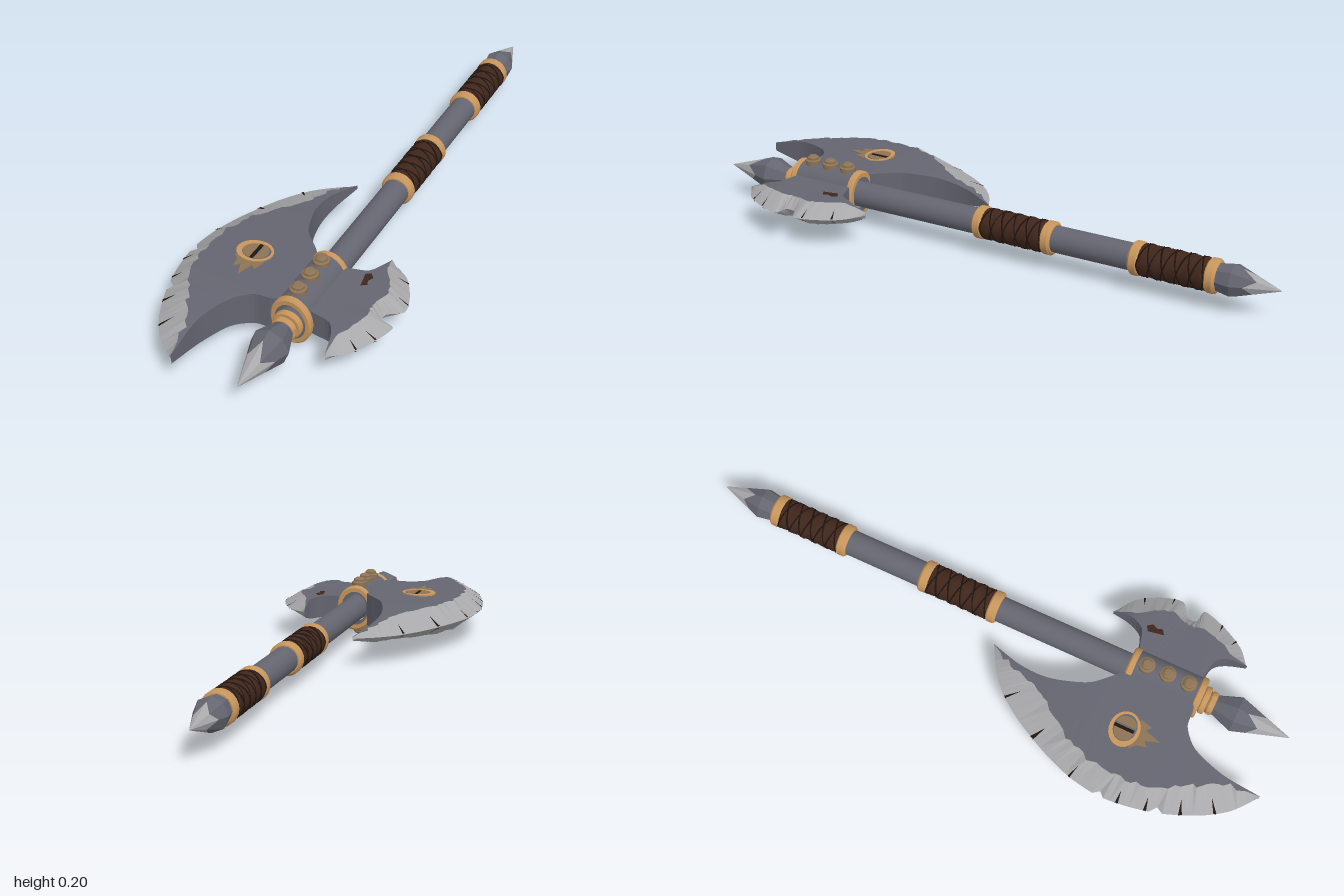
import * as THREE from 'three';
import { toCreasedNormals } from 'three/addons/utils/BufferGeometryUtils.js';

const mat = (name, color, opts = {}) => {
  const m = new THREE.MeshStandardMaterial({ color, ...opts });
  m.name = name;
  return m;
};
const V = (x, y, z) => new THREE.Vector3(x, y, z);

export function createModel() {
  const steel = mat('dark steel', 0x646570, { flatShading: true });
  const shaftSteel = mat('shaft steel', 0x646570);
  const bright = mat('worn bright steel', 0xa8a8aa, { flatShading: true });
  const gold = mat('gold trim', 0xc8965c);
  const bronze = mat('aged bronze', 0x8c7355);
  const leather = mat('brown leather', 0x40261b);
  const crease = mat('dark crease', 0x20140f, { side: THREE.DoubleSide });

  const model = new THREE.Group();
  model.name = 'battleAxe';
  const haft = new THREE.Group();
  haft.name = 'haft';
  haft.position.set(0.068, 0.1, 0);
  haft.rotation.y = 0.008;
  model.add(haft);

  let seed = 7;
  const rnd = () => (seed = (seed * 16807) % 2147483647) / 2147483647 - 0.5;

  const add = (parent, name, geo, material) => {
    const mesh = new THREE.Mesh(geo, material);
    mesh.name = name;
    parent.add(mesh);
    return mesh;
  };

  // Profile of [radius, z] turned around the haft axis
  const turned = (profile, sides) =>
    new THREE.LatheGeometry(profile.map(p => new THREE.Vector2(p[0], p[1])), sides).rotateX(Math.PI / 2);
  const turnedPart = (name, profile, material, sides = 24) =>
    add(haft, name, toCreasedNormals(turned(profile, sides), 0.6), material);
  const ring = (name, z0, z1, r) => {
    const b = (z1 - z0) * 0.2;
    return turnedPart(name, [[r * 0.75, z0], [r - b, z0], [r, z0 + b], [r, z1 - b], [r - b, z1], [r * 0.75, z1]], gold);
  };

  turnedPart('shaft', [[0.042, -0.83], [0.042, 0.7]], shaftSteel);

  // Leather grips with crossing creases between gold rings
  for (const [start, end] of [[-0.81, -0.535], [-0.275, 0]]) {
    ring('gripRing', start, start + 0.035, 0.053);
    ring('gripRing', end - 0.035, end, 0.053);
    const a = start + 0.03, len = end - start - 0.06;
    const profile = [];
    for (let i = 0; i <= 24; i++) profile.push([0.048 + 0.0025 * Math.abs(Math.sin(i * Math.PI / 4)), a + len * i / 24]);
    add(haft, 'leatherGrip', turned(profile, 20), leather);
    for (const dir of [-1, 1]) for (let k = 0; k < 2; k++) {
      const pts = [];
      for (let i = 0; i <= 40; i++) {
        const w = dir * (i / 40 * Math.PI * 5) + k * Math.PI;
        pts.push(V(Math.cos(w) * 0.049, Math.sin(w) * 0.049, a + len * i / 40));
      }
      add(haft, 'gripCrease', new THREE.TubeGeometry(new THREE.CatmullRomCurve3(pts), 80, 0.003, 4), crease);
    }
  }

  // Faceted spike whose bright tip meets the dark base in a zigzag
  const spike = (name, tipZ, wideZ, baseZ, wideR, baseR) => {
    const at = f => [wideR * f, tipZ + (wideZ - tipZ) * f];
    const build = (part, profile, ringIndex, material) => {
      const list = tipZ < wideZ ? profile : profile.slice().reverse();
      const row = tipZ < wideZ ? ringIndex : list.length - 1 - ringIndex;
      const geo = turned(list, 8), p = geo.attributes.position;
      for (let i = 0; i <= 8; i++) {
        const f = [0.82, 0.58, 0.74, 0.5][i % 4], [r, z] = at(f);
        const j = i * list.length + row, s = r / Math.hypot(p.getX(j), p.getY(j));
        p.setXYZ(j, p.getX(j) * s, p.getY(j) * s, z);
      }
      add(haft, name + part, geo, material);
    };
    build('Tip', [[0, tipZ], at(0.65)], 1, bright);
    build('Base', [at(0.65), [wideR, wideZ], [baseR, baseZ], [0, baseZ]], 0, steel);
  };
  spike('pommelSpike', -1, -0.855, -0.81, 0.052, 0.044);
  spike('headSpike', 0.99, 0.81, 0.73, 0.06, 0.03);

  // Oval collar holding the blades, with rings and studs
  turnedPart('collar', [[0.04, 0.455], [0.062, 0.455], [0.062, 0.685], [0.04, 0.685]], shaftSteel).scale.y = 1.22;
  ring('collarRearRing', 0.445, 0.47, 0.065).scale.y = 1.2;
  ring('collarFrontRing', 0.672, 0.695, 0.065).scale.y = 1.22;
  turnedPart('neck', [[0.034, 0.69], [0.034, 0.74]], bronze);
  ring('neckRing', 0.695, 0.715, 0.045);
  ring('neckRing', 0.718, 0.738, 0.038);
  const studProfile = [[0.026, 0.065], [0.026, 0.084], [0.019, 0.087], [0.019, 0.093], [0.012, 0.099], [0, 0.1]]
    .map(p => new THREE.Vector2(p[0], p[1]));
  for (const z of [0.5, 0.57, 0.64]) for (const side of [0, Math.PI]) {
    const stud = add(haft, 'stud', toCreasedNormals(new THREE.LatheGeometry(studProfile, 12), 0.6), bronze);
    stud.position.z = z;
    stud.rotation.z = side;
  }

  // Blade lofted from stations: [edge x, z, bevel x, z, half thickness, back x, z, half thickness]
  const blade = (name, stations, count, jag, notches, cracks) => {
    const curve = (ix, iz, ih) => new THREE.CatmullRomCurve3(
      stations.map(s => V(s[ix], ih ? s[ih] : 0, s[iz])), false, 'catmullrom', 0.4);
    const edge = curve(0, 1), bevel = curve(2, 3, 4), back = curve(5, 6, 7);
    const flip = p => V(p.x, -p.y, p.z);
    const rows = [];
    for (let i = 0; i <= count; i++) {
      const t = i / count, o = edge.getPoint(t), b = bevel.getPoint(t), k = back.getPoint(t);
      if (notches.includes(i)) o.lerp(V(b.x, 0, b.z), 0.25);
      if (i > 2 && i < count - 2) b.x += rnd() * jag;
      rows.push([o, b, k, flip(k), flip(b)]);
    }
    const strip = (part, pairs, material) => {
      const pos = [];
      for (let i = 0; i < count; i++) for (const [a, b] of pairs) {
        const p = rows[i], q = rows[i + 1];
        for (const v of [p[a], q[a], q[b], p[a], q[b], p[b]]) pos.push(v.x, v.y + 0.1, v.z);
      }
      const geo = new THREE.BufferGeometry();
      geo.setAttribute('position', new THREE.Float32BufferAttribute(pos, 3));
      geo.computeVertexNormals();
      add(model, name + part, geo, material);
    };
    strip('Edge', [[0, 1], [4, 0]], bright);
    strip('Body', [[1, 2], [2, 3], [3, 4]], steel);

    // Thin dark cracks running in from the cutting edge
    const pos = [];
    for (const t of cracks) for (const s of [1, -1]) {
      const end = edge.getPoint(t).lerp(bevel.getPoint(t), 0.55);
      for (const v of [edge.getPoint(t - 0.004), edge.getPoint(t + 0.004), end])
        pos.push(v.x, 0.1 + s * (v.y + 0.003), v.z);
    }
    const geo = new THREE.BufferGeometry();
    geo.setAttribute('position', new THREE.Float32BufferAttribute(pos, 3));
    geo.computeVertexNormals();
    add(model, name + 'Cracks', geo, crease);
  };

  blade('largeBlade', [
    [-0.05, 0.035, -0.05, 0.035, 0.006, -0.05, 0.035, 0.006],
    [-0.12, 0.075, -0.095, 0.115, 0.026, -0.08, 0.13, 0.026],
    [-0.18, 0.127, -0.125, 0.2, 0.037, -0.088, 0.205, 0.037],
    [-0.24, 0.21, -0.165, 0.27, 0.044, -0.08, 0.27, 0.045],
    [-0.3, 0.33, -0.235, 0.37, 0.049, -0.045, 0.365, 0.052],
    [-0.335, 0.43, -0.27, 0.455, 0.05, 0.03, 0.45, 0.056],
    [-0.35, 0.53, -0.283, 0.54, 0.05, 0.05, 0.55, 0.056],
    [-0.34, 0.63, -0.277, 0.62, 0.05, 0.03, 0.675, 0.056],
    [-0.315, 0.73, -0.245, 0.715, 0.049, -0.045, 0.69, 0.054],
    [-0.27, 0.835, -0.2, 0.79, 0.048, -0.1, 0.74, 0.049],
    [-0.215, 0.915, -0.16, 0.86, 0.042, -0.135, 0.845, 0.043],
    [-0.14, 0.975, -0.14, 0.975, 0.015, -0.14, 0.975, 0.015],
  ], 55, 0.018, [30, 39], [0.2, 0.32, 0.45, 0.6, 0.68, 0.77, 0.86]);

  blade('smallBlade', [
    [0.23, 0.78, 0.23, 0.78, 0.012, 0.23, 0.78, 0.012],
    [0.28, 0.74, 0.238, 0.715, 0.034, 0.218, 0.72, 0.034],
    [0.32, 0.67, 0.262, 0.665, 0.038, 0.19, 0.683, 0.038],
    [0.345, 0.59, 0.276, 0.61, 0.038, 0.12, 0.665, 0.04],
    [0.303, 0.58, 0.268, 0.58, 0.035, 0.1, 0.6, 0.04],
    [0.303, 0.547, 0.268, 0.547, 0.035, 0.1, 0.53, 0.04],
    [0.345, 0.515, 0.283, 0.51, 0.038, 0.12, 0.46, 0.04],
    [0.33, 0.45, 0.272, 0.46, 0.038, 0.19, 0.435, 0.038],
    [0.285, 0.375, 0.232, 0.395, 0.034, 0.215, 0.385, 0.034],
    [0.215, 0.328, 0.215, 0.328, 0.01, 0.215, 0.328, 0.01],
  ], 36, 0.01, [], [0.15, 0.24, 0.72, 0.85]);

  // Thin inlay plates on both faces of the blades
  const plate = (name, points, lift, material, hole) => {
    const shape = new THREE.Shape(points.map(p => new THREE.Vector2(p[0], p[1])));
    if (hole) shape.holes.push(new THREE.Path(hole.map(p => new THREE.Vector2(p[0], p[1]))));
    for (const s of [1, -1]) {
      const geo = new THREE.ExtrudeGeometry(shape, { depth: 0.008, bevelEnabled: false });
      add(model, name, geo.translate(0, 0, -0.004).rotateX(Math.PI / 2), material).position.y = 0.1 + s * lift;
    }
  };
  const oval = (cx, cz, rx, rz, a0, a1, n = 16) => Array.from({ length: n + 1 }, (_, i) => {
    const a = a0 + (a1 - a0) * i / n;
    return [cx + rx * Math.cos(a), cz + rz * Math.sin(a)];
  });
  const TAU = Math.PI * 2, cx = -0.138, cz = 0.52;
  plate('emblemRim', oval(cx, cz, 0.058, 0.048, 0, TAU, 24).slice(0, 24), 0.053, gold,
    oval(cx + 0.005, cz, 0.045, 0.037, 0, TAU, 24).slice(0, 24));
  plate('emblemLeftHalf', oval(cx - 0.003, cz, 0.034, 0.032, Math.PI / 2, Math.PI * 1.5), 0.052, bronze);
  plate('emblemRightHalf', oval(cx + 0.013, cz, 0.03, 0.032, -Math.PI / 2, Math.PI / 2), 0.052, bronze);
  plate('emblemSlit', [[cx - 0.002, cz - 0.035], [cx + 0.008, cz - 0.035], [cx + 0.008, cz + 0.03], [cx - 0.002, cz + 0.03]], 0.0515, crease);
  plate('emblemFringe', [[cx - 0.05, cz + 0.035], [cx + 0.05, cz + 0.035], [cx + 0.04, cz + 0.075], [cx + 0.024, cz + 0.06],
    [cx + 0.008, cz + 0.115], [cx - 0.008, cz + 0.07], [cx - 0.024, cz + 0.085], [cx - 0.03, cz + 0.055]], 0.0515, bronze);
  plate('rustSpot', [[0.19, 0.455], [0.205, 0.445], [0.218, 0.46], [0.21, 0.478], [0.216, 0.495], [0.2, 0.505], [0.195, 0.48]], 0.0365, leather);

  return model;
}
